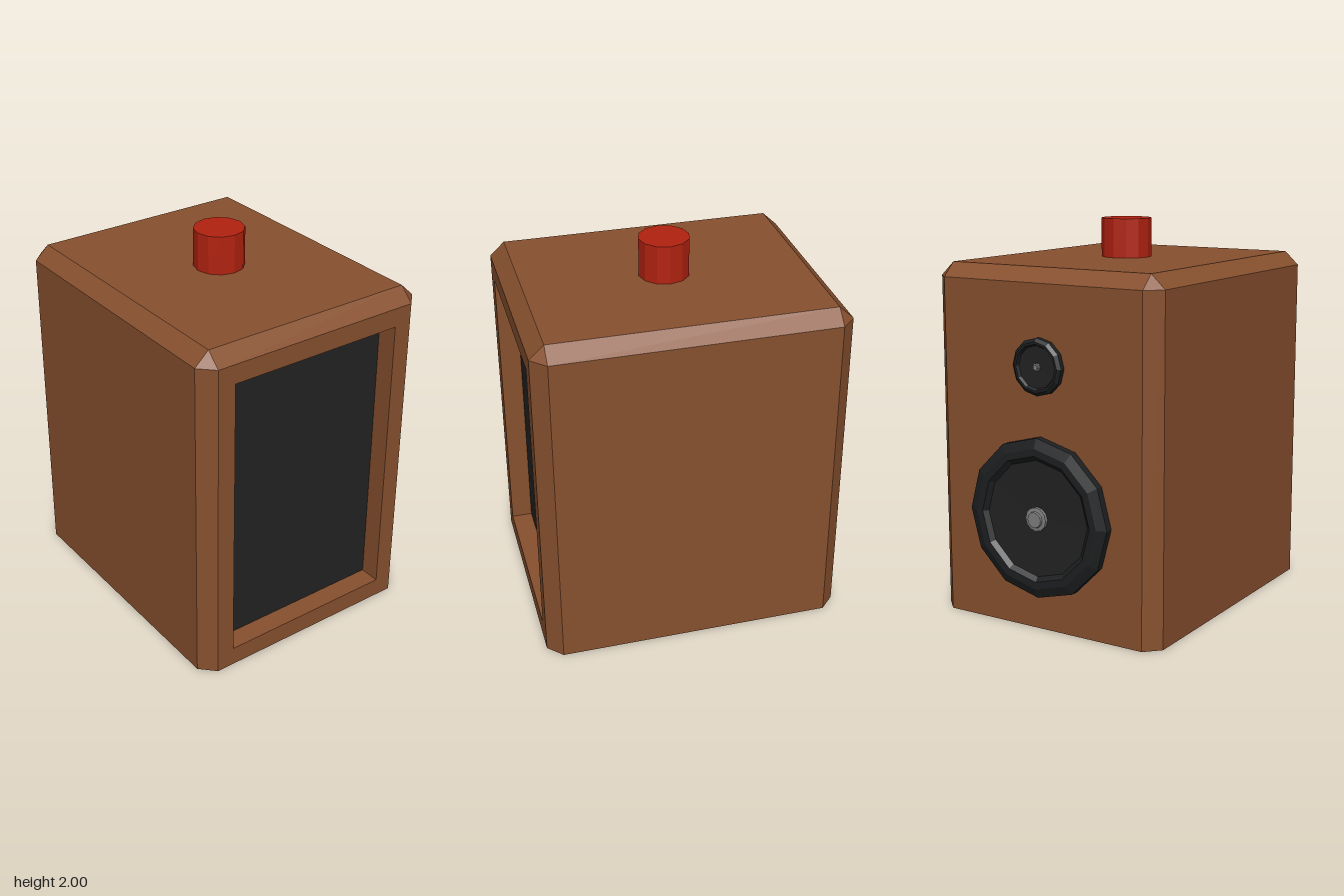
import * as THREE from 'three';

const mat = (name, color) => new THREE.MeshStandardMaterial({ name, color, flatShading: true });

// Flat polygons (counter-clockwise from outside), each split into a fan
function polygons(list) {
  const pos = [];
  for (const p of list)
    for (let i = 1; i < p.length - 1; i++) pos.push(...p[0], ...p[i], ...p[i + 1]);
  const g = new THREE.BufferGeometry();
  g.setAttribute('position', new THREE.Float32BufferAttribute(pos, 3));
  g.computeVertexNormals();
  return g;
}

export function createModel() {
  const model = new THREE.Group();
  const wood = mat('wood', 0x87502e);
  const grille = mat('charcoal', 0x222222);
  const rubber = mat('black rubber', 0x1d1f20);
  const metal = mat('grey metal', 0x7c7c7c);
  const red = mat('red', 0xb22210);

  const add = (parent, name, geometry, material) => {
    const mesh = new THREE.Mesh(geometry, material);
    mesh.name = name;
    parent.add(mesh);
    return mesh;
  };

  // Cabinet: chamfered upright edges and top rim, flat base
  const W = 0.65, F = 0.82, B = -0.76, C = 0.075, H = 1.8, S = 1.73;
  const w = W - C, f = F - C, b = B + C;
  const outer = [[w, F], [W, f], [W, b], [w, B], [-w, B], [-W, b], [-W, f], [-w, F]];
  const inner = [[w, f], [w, b], [-w, b], [-w, f]];
  const at = ([x, z], y) => [x, y, z];
  const faces = [inner.map(p => at(p, H)), outer.map(p => at(p, 0)).reverse()];
  for (let i = 0; i < 8; i++) {
    const p = outer[i], q = outer[(i + 1) % 8];
    if (i < 7) faces.push([at(p, 0), at(q, 0), at(q, S), at(p, S)]);
    const t = inner[i >> 1], u = inner[((i + 1) % 8) >> 1];
    faces.push(t === u ? [at(p, S), at(q, S), at(t, H)] : [at(p, S), at(q, S), at(u, H), at(t, H)]);
  }
  // Front frame and the walls of its recess
  const D = 0.71;
  const rect = (x, y0, y1) => [[-x, y0], [x, y0], [x, y1], [-x, y1]];
  const frame = rect(w, 0, S), hole = rect(0.48, 0.1, 1.63);
  for (let i = 0; i < 4; i++) {
    const j = (i + 1) % 4;
    faces.push([[...frame[i], F], [...frame[j], F], [...hole[j], F], [...hole[i], F]]);
    faces.push([[...hole[i], F], [...hole[j], F], [...hole[j], D], [...hole[i], D]]);
  }
  add(model, 'cabinet', polygons(faces), wood);
  add(model, 'frontGrille', polygons([hole.map(p => [...p, D])]), grille);

  // Knob on top
  add(model, 'topKnob', new THREE.CylinderGeometry(0.13, 0.13, 0.2, 12), red).position.set(0, 1.9, 0.03);

  // Drivers on the back: rim, recessed cone and metal centre cap
  const turned = (pts) => new THREE.LatheGeometry(pts.map(p => new THREE.Vector2(...p)), 12).rotateX(-Math.PI / 2);
  function driver(name, y, r, depth, coneR, capR, capTop) {
    const g = new THREE.Group();
    g.name = name;
    g.position.set(0, y, B);
    const floor = depth * 0.65;
    add(g, 'rim', turned([[r, 0], [r, depth * 0.65], [r * 0.88, depth], [coneR * 1.08, depth], [coneR, floor]]), rubber);
    add(g, 'cone', turned([[coneR, floor], [capR, floor * 0.9], [0, floor * 0.9]]), grille);
    add(g, 'centreCap', turned([[capR, floor * 0.9], [capR, capTop * 0.8], [capR * 0.7, capTop * 0.85],
      [capR * 0.65, capTop], [0, capTop]]), metal);
    model.add(g);
  }
  driver('woofer', 0.58, 0.405, 0.06, 0.295, 0.06, 0.065);
  driver('tweeter', 1.33, 0.142, 0.04, 0.105, 0.02, 0.04);

  return model;
}
